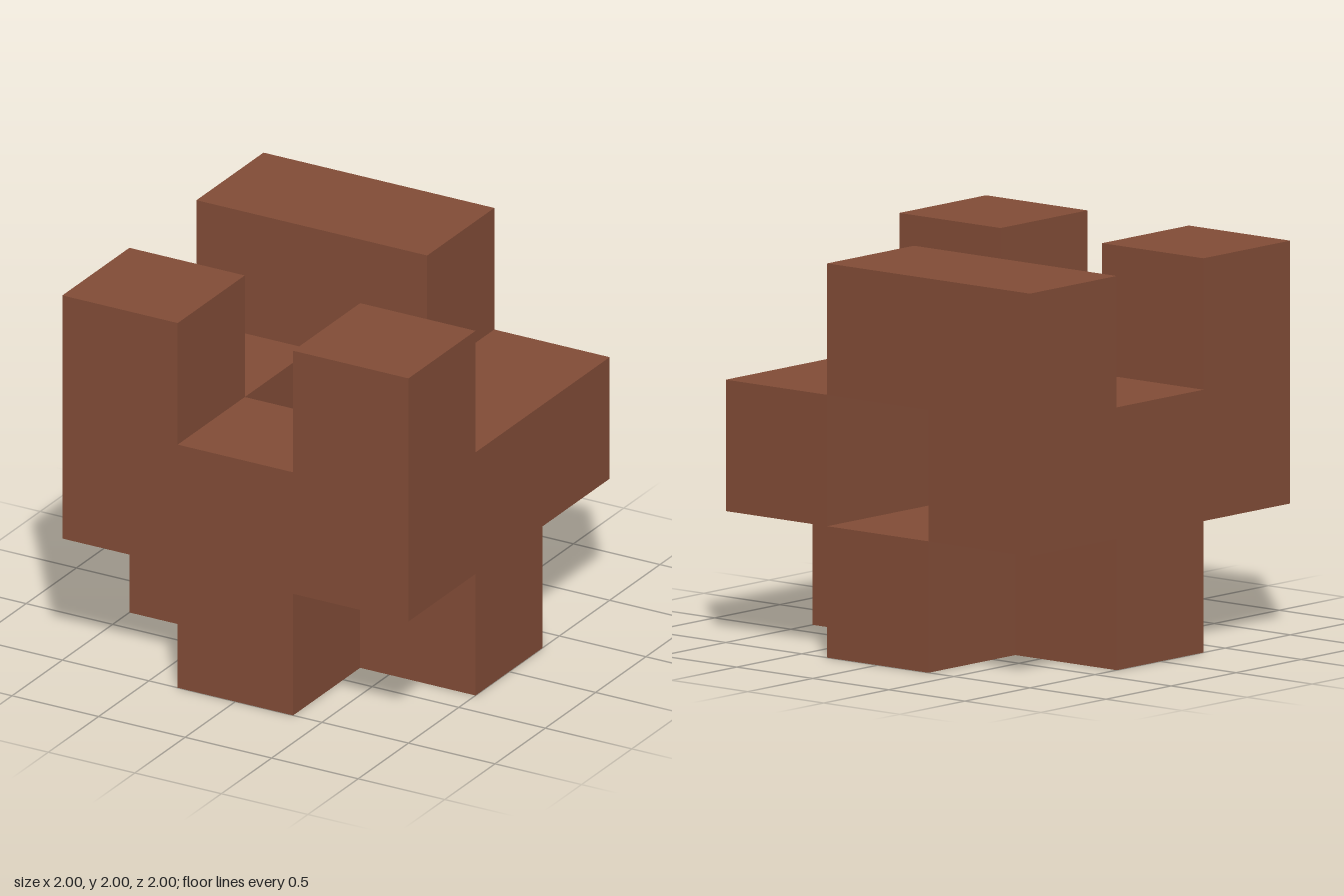
import * as THREE from 'three';
import { mergeGeometries } from 'three/addons/utils/BufferGeometryUtils.js';

const CELL = 2 / 3;

// Three layers from bottom to top; rows run back to front, columns -x to +x.
const LAYERS = [
  { name: 'crossBase', rows: ['.#.', '###', '.#.'] },
  { name: 'middleRing', rows: ['#.#', '#.#', '###'] },
  { name: 'topBlocks', rows: ['##.', '...', '#.#'] },
];

// Outward direction of each cube side
const SIDES = [[1, 0, 0], [-1, 0, 0], [0, 1, 0], [0, -1, 0], [0, 0, 1], [0, 0, -1]];

const filled = (i, j, k) => LAYERS[j]?.rows[k]?.[i] === '#';

// One square face of the cell at (i, j, k), turned to look along dir
function cellFace(i, j, k, dir) {
  const normal = new THREE.Vector3(...dir);
  const turn = new THREE.Quaternion().setFromUnitVectors(new THREE.Vector3(0, 0, 1), normal);
  const centre = new THREE.Vector3(i - 1, j + 0.5, k - 1).addScaledVector(normal, 0.5);
  return new THREE.PlaneGeometry(CELL, CELL)
    .applyQuaternion(turn)
    .translate(centre.x * CELL, centre.y * CELL, centre.z * CELL);
}

export function createModel() {
  const model = new THREE.Group();
  model.name = 'interlockingBlock';
  const wood = new THREE.MeshStandardMaterial({ color: 0x804b36 });
  wood.name = 'brown wood';

  // Keep only the faces that border an empty cell
  LAYERS.forEach(({ name }, j) => {
    const faces = [];
    for (let i = 0; i < 3; i++) {
      for (let k = 0; k < 3; k++) {
        if (!filled(i, j, k)) continue;
        for (const d of SIDES) {
          if (!filled(i + d[0], j + d[1], k + d[2])) faces.push(cellFace(i, j, k, d));
        }
      }
    }
    const mesh = new THREE.Mesh(mergeGeometries(faces), wood);
    mesh.name = name;
    model.add(mesh);
  });
  return model;
}
